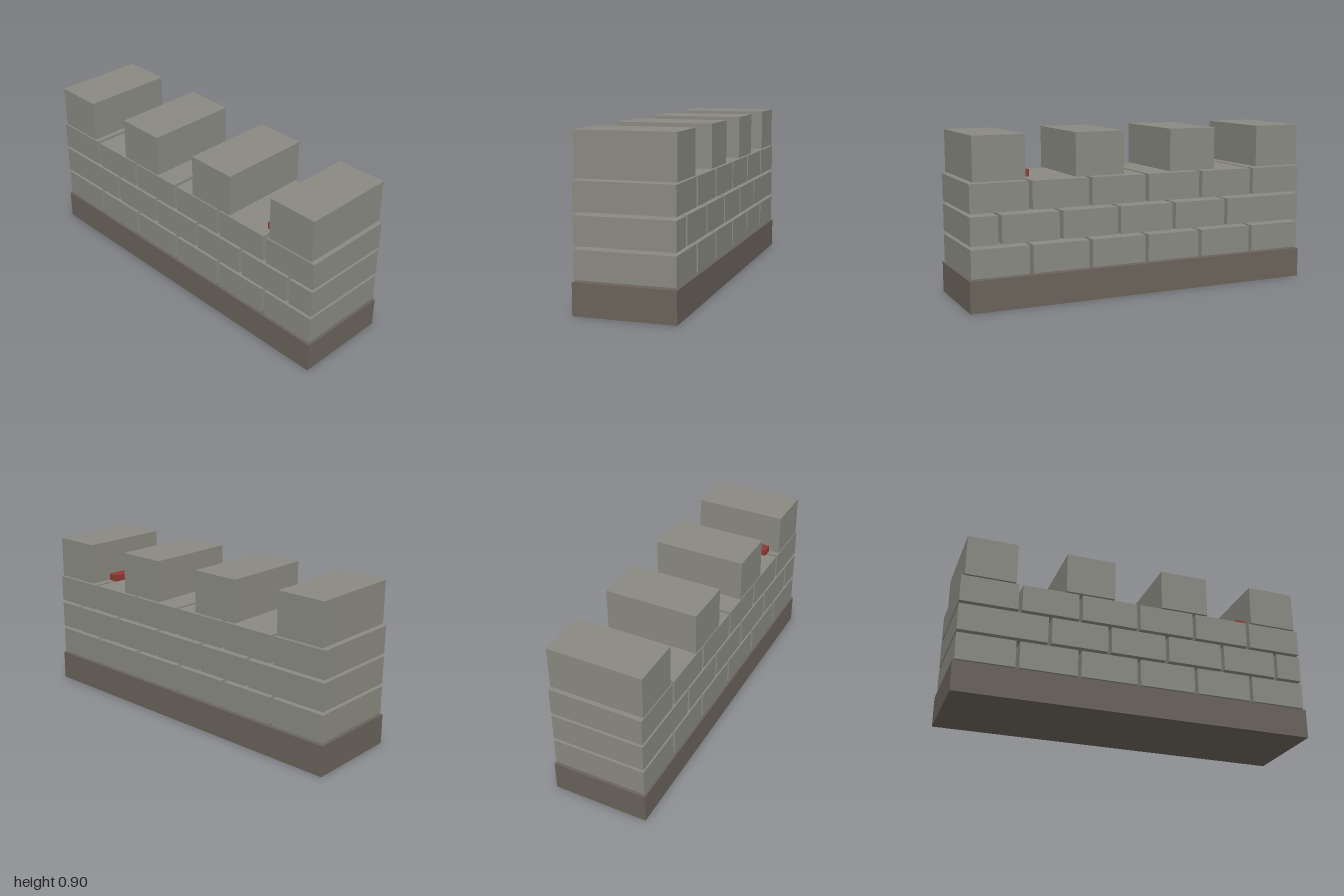
import * as THREE from 'three';

export function createModel() {
  const model = new THREE.Group();
  model.name = 'battlementWall';

  const material = (name, color) => {
    const m = new THREE.MeshStandardMaterial({ color });
    m.name = name;
    return m;
  };
  const stone = material('grey stone', 0x8a8a82);
  const footing = material('dark earth stone', 0x6a635b);
  const red = material('dull red', 0x8f3a34);

  // Box given by its lower and upper limits on each axis
  const block = (name, mat, [x0, x1], [y0, y1], [z0, z1], parent = model) => {
    const mesh = new THREE.Mesh(new THREE.BoxGeometry(x1 - x0, y1 - y0, z1 - z0), mat);
    mesh.position.set((x0 + x1) / 2, (y0 + y1) / 2, (z0 + z1) / 2);
    mesh.name = name;
    parent.add(mesh);
  };

  // Footing
  block('footing', footing, [-1, 1], [0, 0.167], [-0.267, 0.267]);

  // Three courses of separate stones, the middle one with shifted joints
  const third = 1 / 3;
  const evenJoints = [-1, -2 * third, -third, 0, third, 2 * third, 1];
  const shiftedJoints = [-1, -0.5, -0.5 * third, 0.5 * third, 0.5, 2.5 * third, 1];
  const depth = [-0.26, 0.26];
  [evenJoints, shiftedJoints, evenJoints].forEach((joints, row) => {
    const course = new THREE.Group();
    course.name = `course${row + 1}`;
    const y = 0.1765 + row * 0.1667;
    for (let i = 0; i < joints.length - 1; i++) {
      block('wallStone', stone, [joints[i] + 0.01, joints[i + 1] - 0.01], [y, y + 0.15], depth, course);
    }
    model.add(course);
  });

  // Merlons along the top
  for (let i = 0; i < 4; i++) {
    const x = -0.833 + i * 0.5553;
    block('merlon', stone, [x - 0.139, x + 0.139], [0.668, 0.9], depth);
  }

  // Red bar lying in the last gap
  block('redBar', red, [0.63, 0.69], [0.667, 0.705], [-0.135, 0.2]);

  return model;
}
